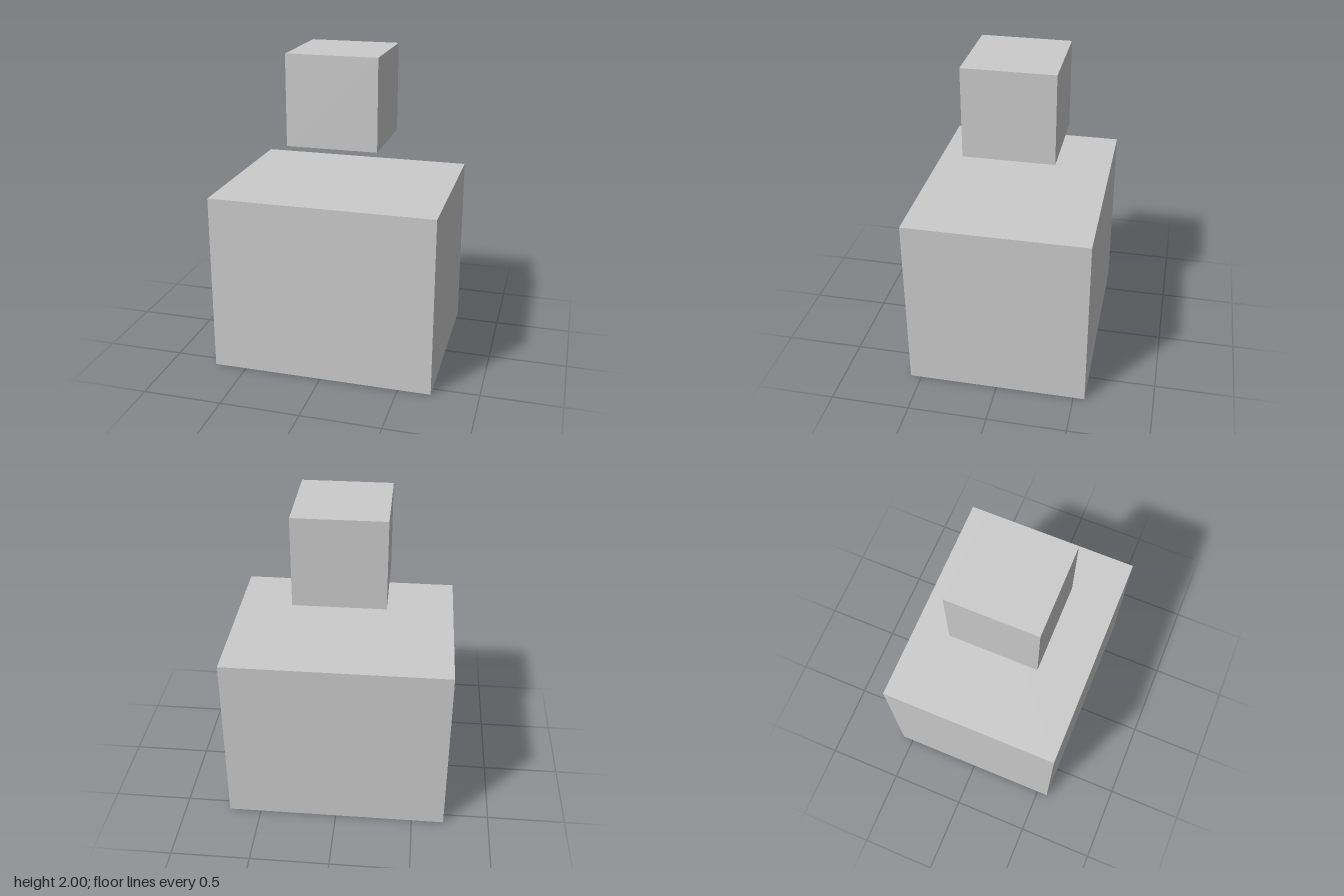
import * as THREE from 'three';

const material = new THREE.MeshStandardMaterial({ color: 0xcccccc, flatShading: true });

// Box standing on height y, centred on x and z
function block(name, width, height, depth, y) {
  const mesh = new THREE.Mesh(new THREE.BoxGeometry(width, height, depth), material);
  mesh.name = name;
  mesh.position.y = y + height / 2;
  return mesh;
}

export function createModel() {
  const model = new THREE.Group();
  model.name = 'stackedBlocks';

  // Large block on the ground
  model.add(block('baseBlock', 1.415, 1.143, 1.143, 0));

  // Small cube floating above it
  model.add(block('upperCube', 0.571, 0.571, 0.571, 1.429));

  return model;
}
